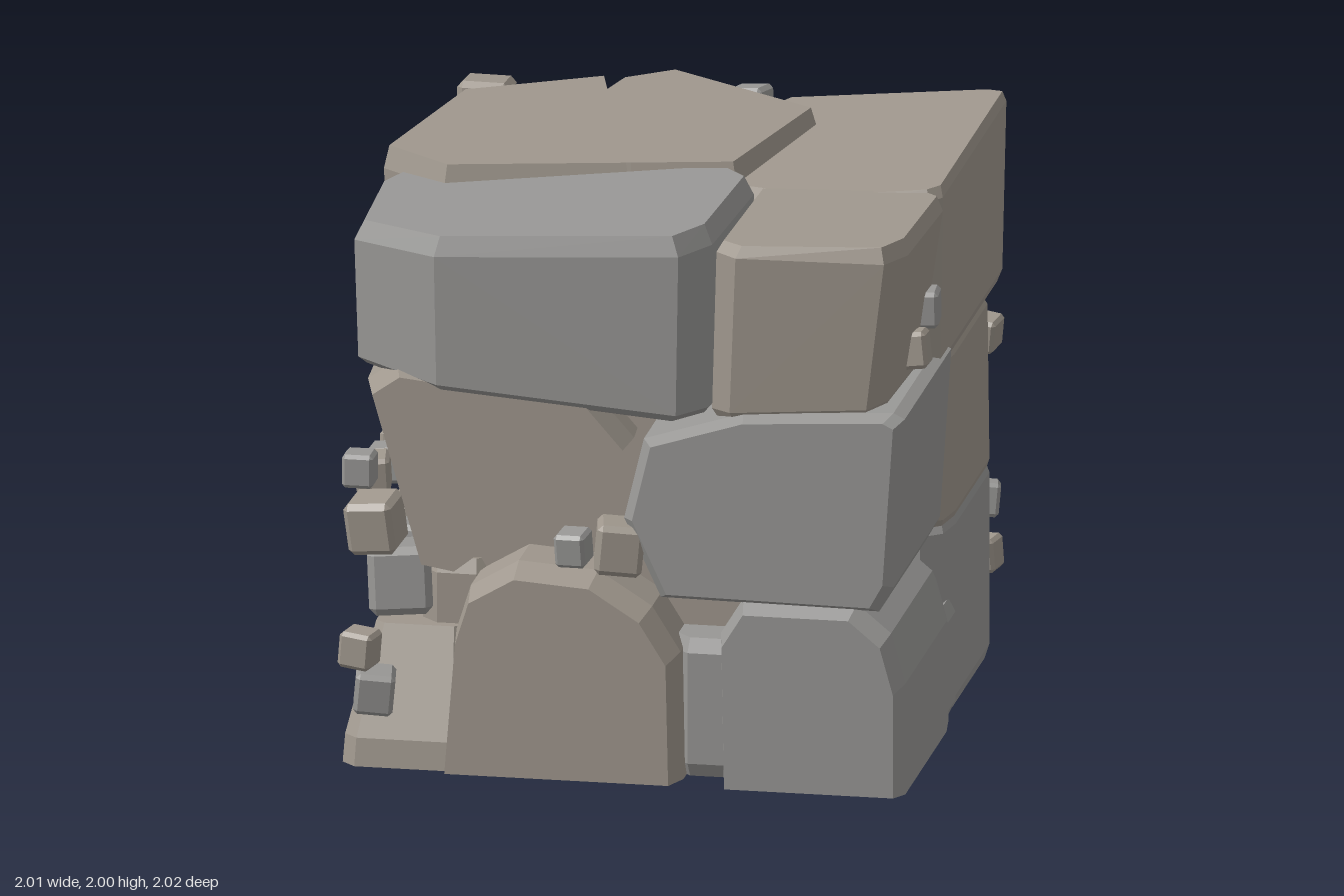
import * as THREE from 'three';
import { ConvexGeometry } from 'three/addons/geometries/ConvexGeometry.js';

const BROWN = 0x9f978d, GREY = 0x989795;
const materials = {};
const material = (color) => materials[color] ??= new THREE.MeshStandardMaterial({ color, flatShading: true });

// Rectangle with cut corners
const rect = (a0, a1, b0, b1, c = 0.06) => [
  [a0 + c, b0], [a1 - c, b0], [a1, b0 + c], [a1, b1 - c],
  [a1 - c, b1], [a0 + c, b1], [a0, b1 - c], [a0, b0 + c],
];

// Hull through a polygon repeated at several levels: [position, scale, shiftA, shiftB, slopeA]
function rock(name, color, axis, poly, levels) {
  const ca = poly.reduce((s, p) => s + p[0], 0) / poly.length;
  const cb = poly.reduce((s, p) => s + p[1], 0) / poly.length;
  const points = [];
  for (const [h, k, da = 0, db = 0, slope = 0] of levels) {
    for (const [a, b] of poly) {
      const u = ca + (a - ca) * k + da, v = cb + (b - cb) * k + db, w = h + (a - ca) * slope;
      points.push(axis === 'y' ? new THREE.Vector3(u, w, v) : new THREE.Vector3(u, v, w));
    }
  }
  const mesh = new THREE.Mesh(new ConvexGeometry(points), material(color));
  mesh.name = name;
  return mesh;
}

// Bevelled levels between two heights
const bevel = (lo, hi, b = 0.05, k = 0.92) => [[lo, k], [lo + b, 1], [hi - b, 1], [hi, k]];

// Unit cube with all edges cut, shared by the pebbles
function chippedCube() {
  const points = [], c = 0.39;
  for (const x of [-1, 1]) for (const y of [-1, 1]) for (const z of [-1, 1]) {
    points.push(new THREE.Vector3(x * 0.5, y * c, z * c));
    points.push(new THREE.Vector3(x * c, y * 0.5, z * c));
    points.push(new THREE.Vector3(x * c, y * c, z * 0.5));
  }
  return new ConvexGeometry(points);
}

export function createModel() {
  const model = new THREE.Group();
  model.name = 'stoneBlockCube';

  // Top layer; the back left stone is split by a chipped notch
  model.add(
    rock('topFrontLeftStone', GREY, 'y',
      [[-1, 0.28], [-0.94, 0.13], [0.24, 0.1], [0.32, 0.2], [0.29, 0.82], [0.2, 0.98], [-0.66, 0.99], [-0.98, 0.78]],
      [[1.35, 0.94, 0, -0.02, -0.08], [1.38, 0.98, 0, 0, -0.08], [1.89, 1, 0, 0, 0.05], [1.96, 0.95, 0, 0, 0.05]]),
    rock('topFrontRightStone', BROWN, 'y',
      [[0.34, 0.22], [0.95, 0.22], [1, 0.27], [0.98, 0.82], [0.92, 0.95], [0.4, 0.97], [0.32, 0.9]],
      [[1.34, 0.88, -0.05, 0, 0.06], [1.37, 0.92, -0.05, 0, 0.06], [1.92, 1], [1.97, 0.94, 0, 0, 0.03]]),
    rock('topBackRightStone', BROWN, 'y',
      [[0.17, -0.9], [0.22, -0.99], [0.93, -1], [0.99, -0.97], [0.99, 0.22], [0.95, 0.27], [0.57, 0.3], [0.2, 0.1]],
      [[1.31, 0.93], [1.35, 0.97], [1.92, 1, 0, 0, 0.09], [1.96, 0.97, 0, 0, 0.09]]),
    rock('topBackLeftStone', BROWN, 'y',
      [[-1, 0.12], [-0.75, 0.32], [-0.12, 0.18], [-0.34, -0.52], [-0.4, -0.88], [-0.86, -0.62]],
      [[1.34, 0.84], [1.45, 0.95], [1.92, 1], [2, 0.96]]),
    rock('topBackMiddleStone', BROWN, 'y',
      [[-0.6, 0.26], [-0.12, 0.18], [0.24, 0.1], [0.39, -0.62], [-0.18, -1], [-0.34, -0.87], [-0.4, -0.5]],
      [[1.33, 0.8, -0.04], [1.45, 0.93, -0.02], [1.92, 1], [2, 0.96]]),
  );

  // Middle layer
  model.add(
    rock('middleFrontLeftStone', BROWN, 'z',
      [[-0.9, 1.36], [-0.8, 1.43], [-0.12, 1.36], [0.02, 1.2], [-0.6, 0.71], [-0.72, 0.73]],
      [[0.0, 1, -0.08], [0.8, 1.02, -0.02], [0.95, 0.96]]),
    rock('middleFrontRightStone', GREY, 'z',
      [[0.0, 0.95], [0.13, 0.67], [0.9, 0.66], [0.95, 0.75], [0.99, 1.36], [0.95, 1.38], [0.42, 1.35], [0.07, 1.24]],
      [[0.0, 0.94], [0.06, 1], [0.93, 1], [0.99, 0.93]]),
    rock('middleBackStone', GREY, 'y',
      [[-0.96, 0.05], [-1, -0.4], [-0.88, -0.9], [-0.75, -0.98], [0.1, -0.98], [0.19, -0.9], [0.19, 0.05]],
      [[0.7, 0.9], [0.8, 0.94], [1.28, 1], [1.4, 0.93]]),
  );

  // Back right column of two stones
  const column = [
    [0.24, 0.06], [0.88, 0.06], [0.95, 0], [0.97, -0.13], [0.97, -0.76], [0.9, -0.84], [0.55, -0.98], [0.32, -0.99], [0.24, -0.9],
  ];
  model.add(
    rock('columnUpperStone', BROWN, 'y', column, [[0.69, 0.97], [0.72, 1], [1.28, 0.98], [1.33, 0.9]]),
    rock('columnLowerStone', GREY, 'y', column, [[0, 0.95], [0.05, 1], [0.67, 1], [0.7, 0.97]]),
  );

  // Bottom layer
  model.add(
    rock('bottomFrontArchedStone', BROWN, 'z',
      [[-0.64, 0], [-0.6, 0.5], [-0.55, 0.66], [-0.38, 0.76], [-0.1, 0.74], [0.09, 0.62], [0.19, 0.46], [0.2, 0]],
      [[0.1, 1], [0.88, 1], [0.98, 0.94, -0.01, -0.026]]),
    rock('bottomFrontRightStone', GREY, 'z',
      [[0.35, 0], [0.34, 0.55], [0.42, 0.68], [0.82, 0.68], [0.94, 0.58], [0.99, 0.4], [0.99, 0]],
      [[0.03, 0.88, 0.02, -0.045], [0.15, 1], [0.92, 1], [0.99, 0.93, -0.01, -0.025]]),
    rock('bottomBackStone', BROWN, 'y',
      [[-0.97, 0.13], [-1, 0.05], [-1, -0.82], [-0.87, -0.98], [0.08, -1], [0.15, -0.93], [0.15, 0.13]],
      [[0, 0.96], [0.04, 1], [0.69, 0.98], [0.74, 0.92]]),
    rock('bottomLeftWedge', BROWN, 'y', rect(-1, -0.55, 0.13, 0.94, 0.05),
      [[0, 1], [0.1, 0.97], [0.47, 0.7, 0.02, -0.06]]),
    rock('leftFillerStone', BROWN, 'y', rect(-0.76, -0.5, 0.1, 0.72), bevel(0.3, 0.7)),
    rock('frontGapFiller', GREY, 'y', rect(0.15, 0.4, 0.2, 0.86), bevel(0, 0.5)),
    rock('rightGapFiller', GREY, 'y', rect(0.4, 0.98, -0.1, 0.15, 0.03), bevel(0, 0.42)),
    rock('innerCore', BROWN, 'y', rect(-0.72, 0.78, -0.75, 0.68), bevel(0.02, 1.75)),
  );

  // Pebbles: x, y, z, size
  const pebbles = [
    [-0.93, 1.08, 0.94, 0.12], [-0.88, 0.88, 0.91, 0.19], [-0.83, 0.63, 0.72, 0.24],
    [-0.93, 0.43, 0.94, 0.13], [-0.88, 0.28, 0.93, 0.15], [-0.92, 0.93, 0.18, 0.15],
    [-0.92, 0.97, 0.49, 0.13], [-0.92, 1.01, 0.74, 0.13], [-0.87, 0.66, 0.42, 0.16],
    [-0.02, 0.84, 0.91, 0.18], [-0.18, 0.83, 0.92, 0.12],
    [0.93, 1.48, 0.48, 0.13], [0.94, 1.59, 0.33, 0.13],
    [0.92, 1.13, -0.92, 0.12], [0.92, 0.53, -0.92, 0.12], [0.92, 0.33, -0.92, 0.12],
    [-0.83, 1.55, -0.84, 0.25], [-0.82, 1.87, -0.84, 0.2], [-0.64, 1.8, -0.88, 0.18],
    [-0.92, 1.76, -0.63, 0.11], [0.1, 1.9, -0.92, 0.14], [0.1, 1.56, -0.94, 0.11],
  ];
  for (const y of [0.18, 0.38, 0.55, 0.85, 1.05, 1.25]) pebbles.push([0.19, y, -0.92, 0.15]);
  const cube = chippedCube();
  const group = new THREE.Group();
  group.name = 'pebbles';
  pebbles.forEach(([x, y, z, size], i) => {
    const pebble = new THREE.Mesh(cube, material(i % 2 ? BROWN : GREY));
    pebble.name = 'pebble';
    pebble.position.set(x, y, z);
    pebble.scale.set(size * 0.92, size, size * 0.95);
    pebble.rotation.set(0.12 * Math.sin(i * 2.1), 0.2 * Math.sin(i * 3.7), 0.12 * Math.sin(i * 1.3));
    group.add(pebble);
  });
  model.add(group);
  return model;
}
